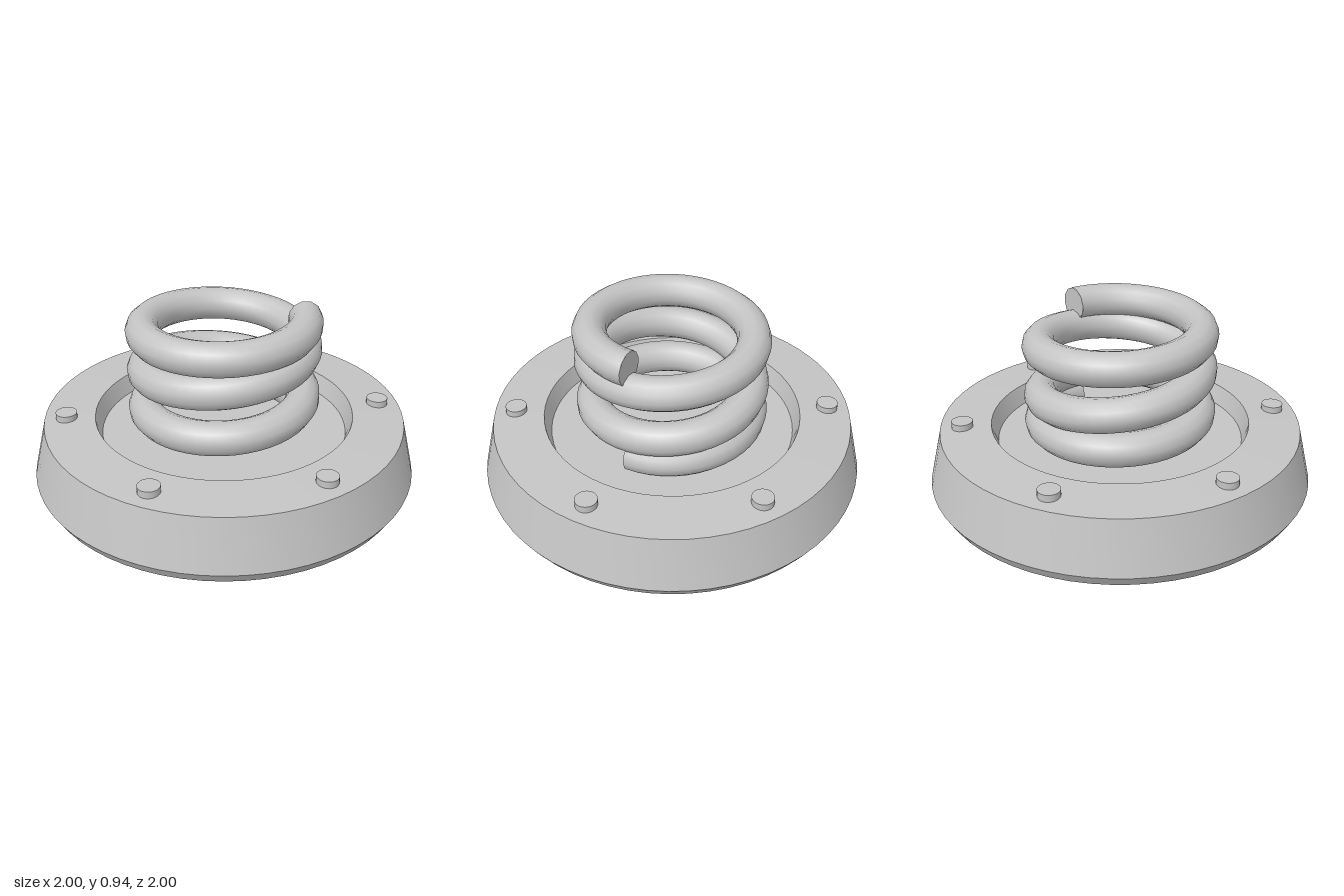
import * as THREE from 'three';
import { toCreasedNormals } from 'three/addons/utils/BufferGeometryUtils.js';

// Coil with closed ends: gentle pitch at both ends, steep in the middle
const COIL_RADIUS = 0.41, WIRE = 0.087, TURNS = 3;
const HEIGHTS = [0.338, 0.362, 0.387, 0.415, 0.458, 0.52, 0.6, 0.67, 0.73, 0.78, 0.812, 0.835, 0.853];
const heightCurve = new THREE.SplineCurve(HEIGHTS.map((h, i) => new THREE.Vector2(i, h)));

class Coil extends THREE.Curve {
  getPoint(t, target = new THREE.Vector3()) {
    const a = t * TURNS * Math.PI * 2;
    return target.set(COIL_RADIUS * Math.cos(a), heightCurve.getPoint(t).y, -COIL_RADIUS * Math.sin(a));
  }
}

export function createModel() {
  const model = new THREE.Group();
  model.name = 'springOnBase';
  const metal = new THREE.MeshStandardMaterial({ color: 0xc4c4c4 });
  metal.name = 'grey metal';

  const add = (name, geometry, parent = model) => {
    const mesh = new THREE.Mesh(geometry, metal);
    mesh.name = name;
    parent.add(mesh);
    return mesh;
  };

  // Tapered round base with a chamfered foot and a recessed floor
  const profile = [
    [0, 0], [0.965, 0], [1, 0.06], [0.935, 0.33], [0.672, 0.345], [0.64, 0.25], [0, 0.25],
  ].map(([r, y]) => new THREE.Vector2(r, y));
  add('base', toCreasedNormals(new THREE.LatheGeometry(profile, 64), 0.35));

  // Six bolt heads around the rim
  const bolts = new THREE.Group();
  bolts.name = 'bolts';
  model.add(bolts);
  for (let i = 0; i < 6; i++) {
    const a = (i * Math.PI) / 3;
    const bolt = add('bolt', new THREE.CylinderGeometry(0.055, 0.055, 0.06, 24), bolts);
    bolt.position.set(0.82 * Math.cos(a), 0.34, 0.82 * Math.sin(a));
  }

  // Spring wire and its two flat cut ends
  const spring = new THREE.Group();
  spring.name = 'spring';
  model.add(spring);
  const coil = new Coil();
  add('springWire', new THREE.TubeGeometry(coil, 144, WIRE, 12, false), spring);
  for (const [t, sign] of [[0, -1], [1, 1]]) {
    const cap = add('springEnd', new THREE.CircleGeometry(WIRE, 12), spring);
    cap.position.copy(coil.getPoint(t));
    const outward = coil.getTangent(t).multiplyScalar(sign);
    cap.quaternion.setFromUnitVectors(new THREE.Vector3(0, 0, 1), outward);
  }
  return model;
}
